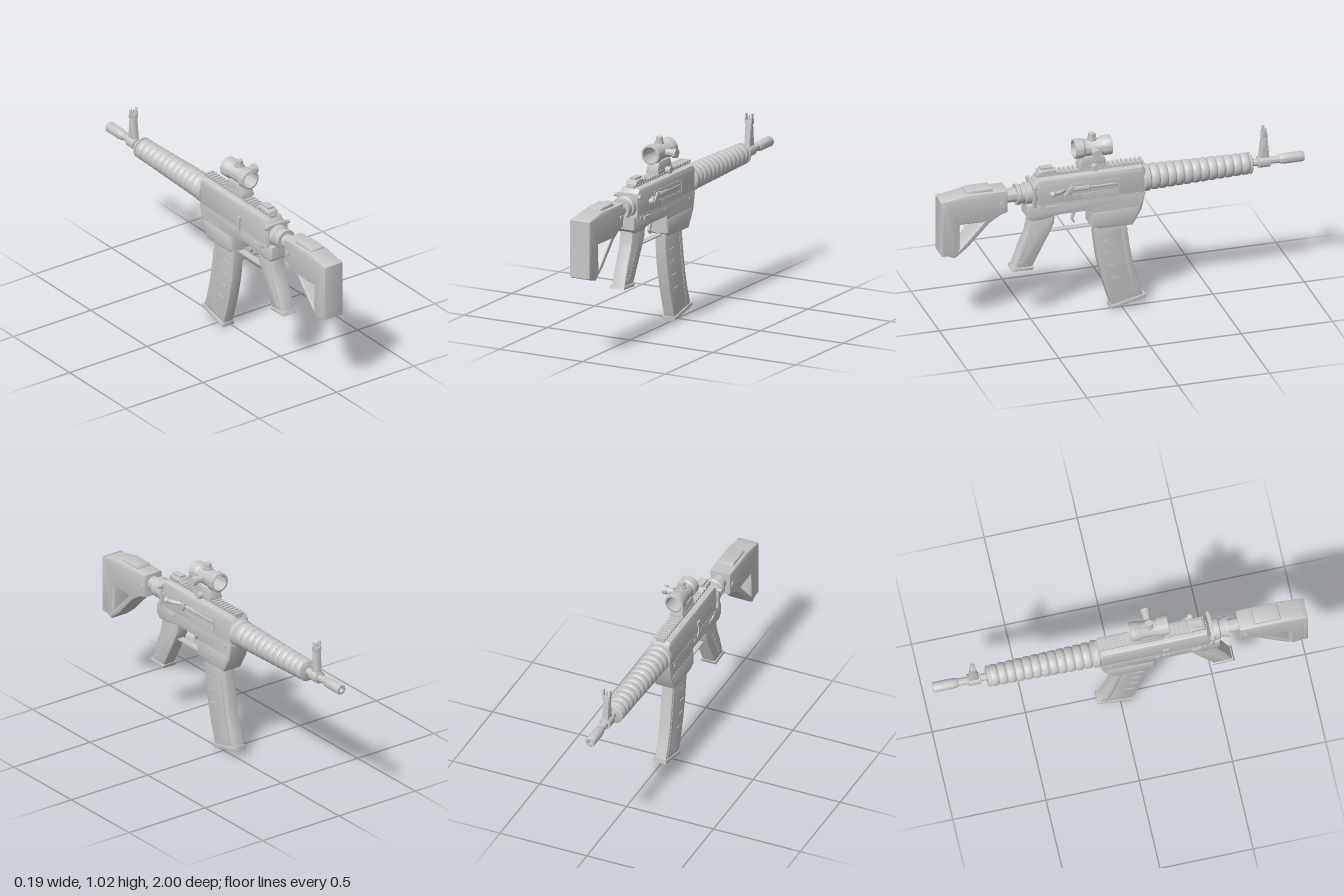
import * as THREE from 'three';
import { toCreasedNormals } from 'three/addons/utils/BufferGeometryUtils.js';

const CX = -0.017; // centre plane of the main body
const AXIS = 0.725; // height of the barrel axis

export function createModel() {
  const root = new THREE.Group();
  const grey = new THREE.MeshStandardMaterial({ color: 0xc8c8c8 });

  const add = (name, geo, x = 0, y = 0, z = 0) => {
    const m = new THREE.Mesh(toCreasedNormals(geo, 0.6), grey);
    m.name = name;
    m.position.set(x, y, z);
    root.add(m);
    return m;
  };
  const box = (name, w, h, d, x, y, z) => add(name, new THREE.BoxGeometry(w, h, d), x, y, z);

  // side profile given as [z, y] points, extruded across x with bevelled edges
  const slab = (name, pts, width, bevel = 0.01, holes = [], x = CX) => {
    const toV = (list) => list.map(([z, y]) => new THREE.Vector2(z, y));
    const shape = new THREE.Shape(toV(pts));
    holes.forEach((h) => shape.holes.push(new THREE.Path(toV(h))));
    const geo = new THREE.ExtrudeGeometry(shape, {
      depth: width - 2 * bevel, bevelEnabled: bevel > 0, bevelSize: bevel,
      bevelThickness: bevel, bevelOffset: -bevel, bevelSegments: 2,
    });
    geo.translate(0, 0, -(width - 2 * bevel) / 2);
    geo.rotateY(-Math.PI / 2);
    return add(name, geo, x);
  };
  // turned part along z: [radius, z] points running toward the muzzle
  const turned = (name, pts, y = AXIS, x = CX, seg = 28) => {
    const geo = new THREE.LatheGeometry(pts.map(([r, z]) => new THREE.Vector2(r, -z)), seg);
    geo.rotateX(-Math.PI / 2);
    return add(name, geo, x, y);
  };
  // cylinder across x
  const pin = (name, r, len, x, y, z) =>
    add(name, new THREE.CylinderGeometry(r, r, len, 18).rotateZ(Math.PI / 2), x, y, z);

  // ---- stock
  slab('stock', [
    [0.99, 0.76], [0.86, 0.785], [0.635, 0.78], [0.635, 0.655], [0.68, 0.64], [0.735, 0.605],
    [0.855, 0.48], [0.925, 0.425], [0.99, 0.45],
  ], 0.12, 0.013, [[[0.9, 0.615], [0.9, 0.482], [0.775, 0.615]]]);
  slab('buttPad', [[1, 0.757], [0.978, 0.765], [0.978, 0.44], [1, 0.45]], 0.118, 0.004);
  slab('cheekPlate', [[0.86, 0.775], [0.855, 0.793], [0.84, 0.798], [0.72, 0.798], [0.71, 0.775]], 0.085, 0.005);
  pin('stockPin', 0.016, 0.13, CX, 0.705, 0.665);

  // ---- buffer tube and rear collar
  turned('bufferTube', [
    [0, 0.66], [0.038, 0.66], [0.038, 0.58], [0.056, 0.58], [0.056, 0.56], [0.05, 0.555],
    [0.05, 0.535], [0.058, 0.53], [0.058, 0.47], [0, 0.47],
  ]);
  slab('endPlate', [[0.5, 0.79], [0.482, 0.79], [0.482, 0.66], [0.5, 0.66]], 0.128, 0.004);
  pin('slingStud', 0.011, 0.16, CX, 0.777, 0.49);

  // ---- receiver
  slab('upperReceiver', [
    [0.48, 0.65], [0.48, 0.79], [0.462, 0.815], [-0.105, 0.815], [-0.122, 0.79], [-0.122, 0.65],
  ], 0.116, 0.018);
  slab('lowerReceiver', [
    [0.53, 0.675], [0.53, 0.605], [0.505, 0.583], [0.45, 0.583], [0.36, 0.6], [0.18, 0.6],
    [0.178, 0.505], [0.14, 0.487], [-0.05, 0.485], [-0.1, 0.572], [-0.12, 0.67],
  ], 0.118, 0.01);
  slab('magazineWellCollar', [
    [0.175, 0.585], [0.175, 0.51], [0.135, 0.495], [-0.045, 0.493], [-0.088, 0.57], [-0.08, 0.59],
  ], 0.124, 0.006);
  box('seamStrip', 0.12, 0.008, 0.54, CX, 0.668, 0.17);
  for (const z of [0.45, 0.195, -0.06]) pin('receiverPin', 0.012, 0.125, CX, 0.64 + (z > 0.4 ? 0.015 : 0), z);

  // ---- ejection port and bolt on the left side
  const side = CX + 0.058;
  box('portFrameTop', 0.008, 0.008, 0.28, side, 0.764, 0.17);
  box('portFrameBottom', 0.008, 0.008, 0.28, side, 0.706, 0.17);
  for (const z of [0.03, 0.31]) box('portFrameEnd', 0.008, 0.066, 0.008, side, 0.735, z);
  turned('bolt', [[0, 0.3], [0.016, 0.3], [0.016, 0.19], [0.011, 0.185], [0.011, 0.04], [0, 0.04]], 0.738, side - 0.008, 14);
  box('portCover', 0.006, 0.022, 0.2, side + 0.001, 0.69, 0.13);
  slab('caseDeflector', [[0.33, 0.71], [0.3, 0.76], [0.27, 0.76], [0.29, 0.71]], 0.02, 0.003, [], side);
  const handle = new THREE.CatmullRomCurve3([
    new THREE.Vector3(0.03, 0.738, 0.32), new THREE.Vector3(0.052, 0.738, 0.35), new THREE.Vector3(0.072, 0.74, 0.4),
  ]);
  add('chargingHandle', new THREE.TubeGeometry(handle, 8, 0.011, 12));
  add('chargingKnob', new THREE.SphereGeometry(0.017, 16, 10), 0.073, 0.74, 0.4);
  box('selectorLever', 0.014, 0.016, 0.06, side + 0.002, 0.65, 0.4);

  // ---- controls on the right side
  const far = CX - 0.059;
  box('boltCatch', 0.012, 0.075, 0.014, far, 0.69, 0.24);
  for (const y of [0.728, 0.655]) box('boltCatchPaddle', 0.014, 0.02, 0.032, far, y, 0.236);
  pin('selectorHub', 0.016, 0.014, far, 0.645, 0.42);
  box('selectorArm', 0.012, 0.014, 0.05, far - 0.002, 0.645, 0.4);

  // ---- top rail
  box('railBase', 0.045, 0.016, 0.58, CX, 0.817, 0.175);
  for (let i = 0; i < 24; i++) box('railTooth', 0.058, 0.013, 0.013, CX, 0.829, 0.45 - i * 0.0243);

  // ---- folded rear sight
  slab('rearSight', [[0.46, 0.833], [0.455, 0.846], [0.44, 0.853], [0.37, 0.853], [0.36, 0.833]], 0.062, 0.003);
  box('rearSightLeaf', 0.036, 0.012, 0.065, CX, 0.858, 0.41);
  pin('rearSightPin', 0.008, 0.08, CX, 0.845, 0.38);

  // ---- optic: open tube on a clamp
  turned('opticTube', [
    [0.043, 0.26], [0.053, 0.258], [0.053, 0.215], [0.046, 0.205], [0.046, 0.112], [0.053, 0.1],
    [0.053, 0.058], [0.043, 0.055], [0.041, 0.16], [0.043, 0.26],
  ], 0.943, CX, 36);
  const cap = (r, h) => new THREE.CylinderGeometry(r, r, h, 20);
  add('topTurret', cap(0.019, 0.035), CX, 1.004, 0.16);
  add('topTurretBase', cap(0.025, 0.012), CX, 0.991, 0.16);
  pin('sideTurret', 0.02, 0.05, 0.053, 0.943, 0.16);
  pin('sideTurretCap', 0.025, 0.02, 0.079, 0.943, 0.16);
  slab('opticMount', [
    [0.235, 0.834], [0.235, 0.868], [0.22, 0.902], [0.105, 0.902], [0.09, 0.868], [0.09, 0.834],
  ], 0.07, 0.006);
  box('mountClamp', 0.076, 0.016, 0.15, CX, 0.845, 0.1625);
  pin('clampBolt', 0.008, 0.04, 0.02, 0.848, 0.16);
  pin('clampKnob', 0.018, 0.028, 0.04, 0.848, 0.16);

  // ---- ribbed handguard
  const guard = [[0, -0.11], [0.064, -0.11], [0.073, -0.118], [0.073, -0.145], [0.062, -0.152]];
  const ribs = 12, step = 0.542 / ribs;
  for (let i = 0; i < ribs; i++) {
    const r = 0.07 - 0.012 * (i / (ribs - 1)), z = -0.155 - i * step;
    guard.push([r - 0.008, z], [r - 0.001, z - step * 0.2], [r, z - step * 0.5], [r - 0.001, z - step * 0.8], [r - 0.008, z - step]);
  }
  guard.push([0.057, -0.698], [0.057, -0.708], [0.045, -0.714], [0, -0.714]);
  turned('handguard', guard);

  // ---- barrel, gas block, muzzle
  turned('barrel', [[0.02, -0.7], [0.02, -0.88]], AXIS, CX, 20);
  turned('gasBlock', [[0.02, -0.748], [0.032, -0.75], [0.032, -0.812], [0.02, -0.815]], AXIS, CX, 20);
  turned('muzzleDevice', [
    [0.02, -0.865], [0.025, -0.872], [0.028, -0.9], [0.028, -0.995], [0.025, -1], [0.013, -1], [0.012, -0.95], [0, -0.95],
  ], AXIS, CX, 20);

  // ---- front sight
  slab('frontSightPost', [
    [-0.752, 0.73], [-0.758, 0.77], [-0.772, 0.89], [-0.798, 0.89], [-0.808, 0.77], [-0.812, 0.73],
  ], 0.034, 0.005);
  for (const s of [-1, 1]) {
    slab('frontSightEar', [
      [-0.77, 0.87], [-0.777, 0.925], [-0.791, 0.925], [-0.799, 0.87],
    ], 0.007, 0.001, [], CX + s * 0.018).rotation.z = 0;
  }
  add('frontSightBlade', new THREE.CylinderGeometry(0.003, 0.004, 0.03, 8), CX, 0.902, -0.785);

  // ---- grip
  slab('grip', [
    [0.51, 0.6], [0.37, 0.6], [0.375, 0.545], [0.4, 0.49], [0.495, 0.31], [0.6, 0.31],
    [0.562, 0.42], [0.528, 0.5], [0.515, 0.55],
  ], 0.08, 0.014);
  slab('gripCap', [[0.496, 0.293], [0.488, 0.312], [0.602, 0.318], [0.61, 0.298]], 0.086, 0.004);
  for (const s of [-1, 1]) {
    for (let i = 0; i < 7; i++) {
      const groove = box('gripRidge', 0.004, 0.005, 0.05, CX + s * 0.0405, 0.5 - i * 0.025, 0.475 + i * 0.0122);
      groove.rotation.x = 0.5;
    }
  }

  // ---- trigger and guard
  box('triggerGuard', 0.036, 0.007, 0.235, CX, 0.492, 0.285);
  box('guardFrontPost', 0.036, 0.03, 0.007, CX, 0.505, 0.172);
  slab('trigger', [
    [0.285, 0.61], [0.25, 0.61], [0.252, 0.57], [0.262, 0.54], [0.252, 0.518], [0.262, 0.518], [0.276, 0.54], [0.268, 0.575],
  ], 0.016, 0.002);

  // ---- curved magazine
  slab('magazine', [
    [0.153, 0.52], [0.152, 0.43], [0.137, 0.31], [0.113, 0.2], [0.082, 0.09], [0.058, 0.018],
    [-0.115, 0.06], [-0.09, 0.13], [-0.063, 0.23], [-0.045, 0.33], [-0.03, 0.43], [-0.022, 0.52],
  ], 0.066, 0.009);
  slab('magazineSpine', [
    [0.012, 0.5], [0.006, 0.43], [-0.008, 0.33], [-0.03, 0.21], [-0.055, 0.11], [-0.07, 0.055],
    [-0.1, 0.062], [-0.077, 0.13], [-0.05, 0.23], [-0.034, 0.33], [-0.02, 0.43], [-0.014, 0.5],
  ], 0.071, 0.003);
  slab('magazineBase', [[0.062, 0], [0.064, 0.022], [-0.122, 0.067], [-0.125, 0.046]], 0.076, 0.004);
  for (const s of [-1, 1]) {
    [[0.4, 0.06], [0.33, 0.05], [0.255, 0.035], [0.18, 0.012]].forEach(([y, z]) => {
      box('magazineMark', 0.008, 0.007, 0.045, CX + s * 0.033, y, z + 0.035).rotation.x = 0.15;
    });
  }
  return root;
}
